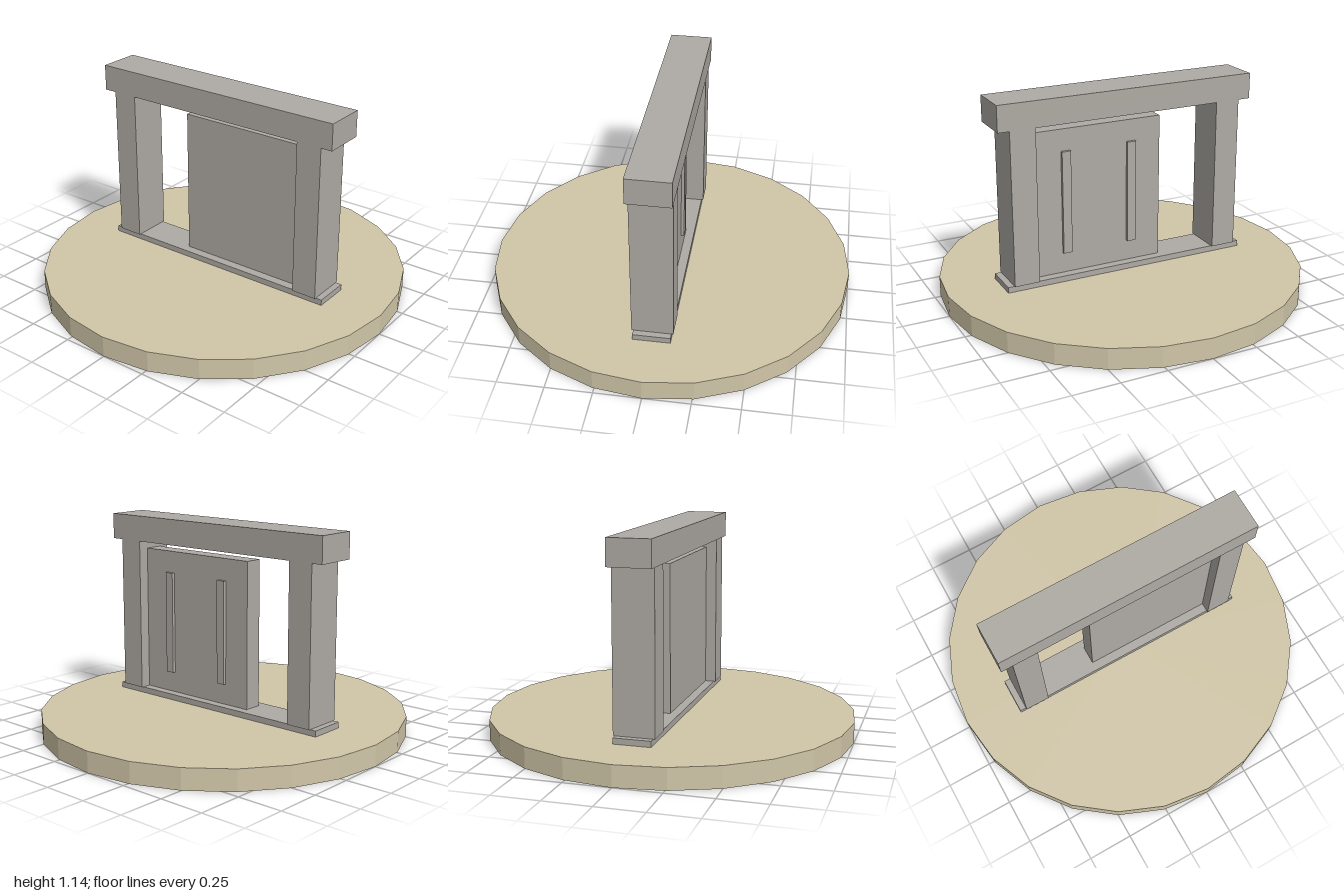
import * as THREE from 'three';

export function createModel() {
  const group = new THREE.Group();
  group.name = 'slidingGate';

  const sand = new THREE.MeshStandardMaterial({ color: 0xd0c6a8 });
  sand.name = 'sand';
  const stone = new THREE.MeshStandardMaterial({ color: 0xaeaaa4 });
  stone.name = 'stone grey';

  // Box given by its limits on each axis
  function box(name, [x0, x1], [y0, y1], [z0, z1]) {
    const mesh = new THREE.Mesh(new THREE.BoxGeometry(x1 - x0, y1 - y0, z1 - z0), stone);
    mesh.position.set((x0 + x1) / 2, (y0 + y1) / 2, (z0 + z1) / 2);
    mesh.name = name;
    group.add(mesh);
  }

  // Faceted round base
  const baseGeometry = new THREE.CylinderGeometry(1, 1, 0.113, 24).toNonIndexed();
  baseGeometry.computeVertexNormals();
  const base = new THREE.Mesh(baseGeometry, sand);
  base.position.y = 0.0565;
  base.name = 'base';
  group.add(base);

  // Frame: sill, two posts and lintel
  box('sill', [-0.705, 0.705], [0.113, 0.145], [-0.1, 0.1]);
  box('rightPost', [-0.67, -0.53], [0.145, 0.995], [-0.11, 0.11]);
  box('leftPost', [0.53, 0.67], [0.145, 0.995], [-0.11, 0.11]);
  box('lintel', [-0.735, 0.735], [0.995, 1.137], [-0.115, 0.115]);

  // Sliding door, parked against the left post
  box('door', [-0.21, 0.53], [0.145, 0.95], [-0.05, 0.05]);

  // Upright battens on the back of the door
  for (const x of [-0.035, 0.345]) {
    box('batten', [x - 0.025, x + 0.025], [0.26, 0.83], [-0.067, -0.05]);
  }

  return group;
}
